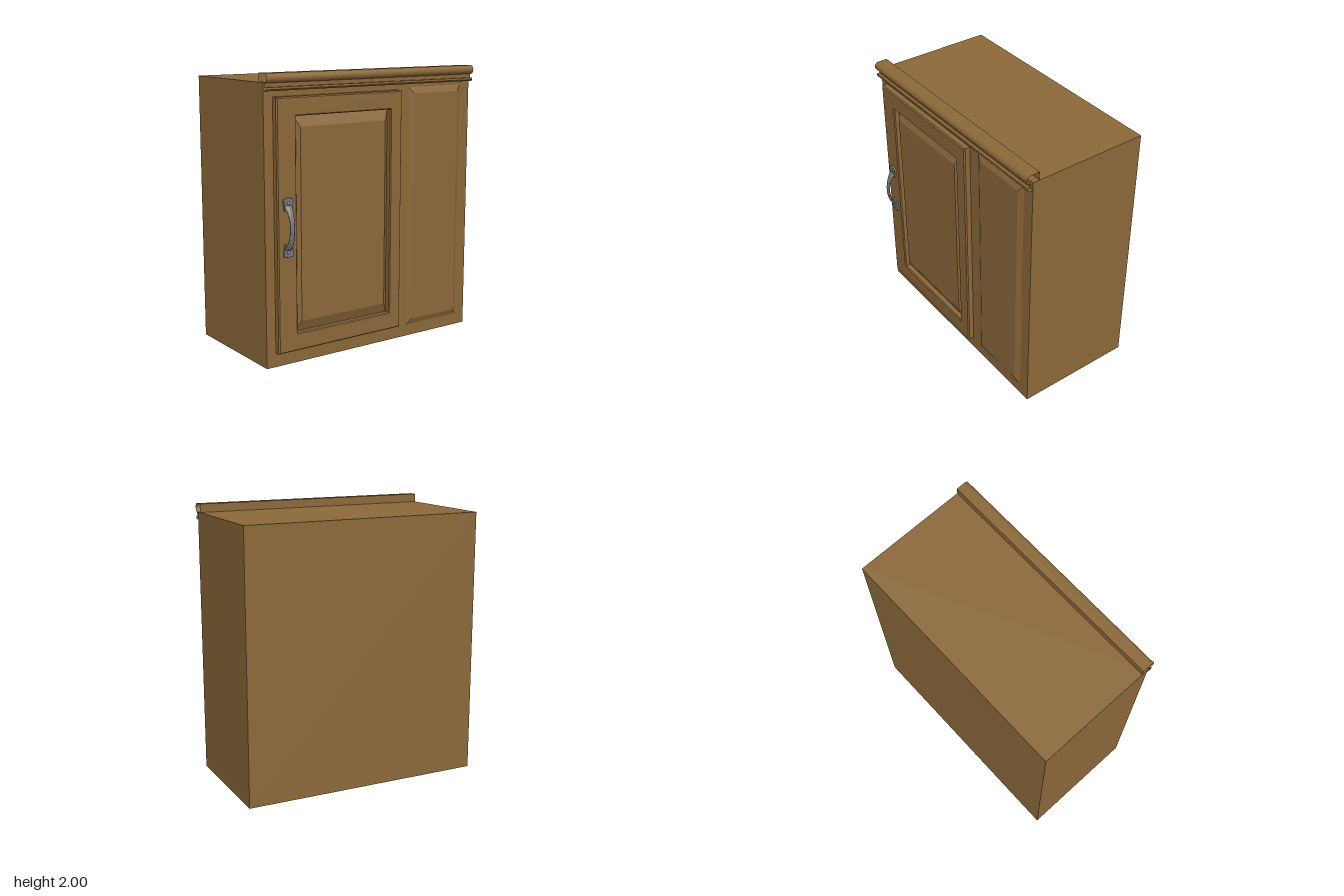
import * as THREE from 'three';
import { toCreasedNormals } from 'three/addons/utils/BufferGeometryUtils.js';

const wood = new THREE.MeshStandardMaterial({ color: 0x8b6839 });
const woodOpen = new THREE.MeshStandardMaterial({ color: 0x8b6839, side: THREE.DoubleSide });
const metal = new THREE.MeshStandardMaterial({ color: 0x777777 });

function fromTriangles(points) {
  const geometry = new THREE.BufferGeometry();
  geometry.setAttribute('position', new THREE.Float32BufferAttribute(points.flat(), 3));
  geometry.computeVertexNormals();
  return geometry;
}

function addMesh(parent, name, geometry, material) {
  const mesh = new THREE.Mesh(geometry, material);
  mesh.name = name;
  parent.add(mesh);
  return mesh;
}

// Mitred surface through nested rectangles [x0, x1, y0, y1, z], outermost first
function nestedRects(rects, capped) {
  const rings = rects.map(([x0, x1, y0, y1, z]) => [[x0, y0, z], [x1, y0, z], [x1, y1, z], [x0, y1, z]]);
  const tris = [];
  for (let r = 0; r + 1 < rings.length; r++) {
    const a = rings[r], b = rings[r + 1];
    for (let i = 0; i < 4; i++) {
      const j = (i + 1) % 4;
      tris.push(a[i], a[j], b[j], a[i], b[j], b[i]);
    }
  }
  if (capped) {
    const c = rings[rings.length - 1];
    tris.push(c[0], c[1], c[2], c[0], c[2], c[3]);
  }
  return fromTriangles(tris);
}

// Open-ended strip that sweeps a [z, y] profile along x
function sweepAlongX(profile, halfWidth) {
  const tris = [];
  for (let i = 0; i + 1 < profile.length; i++) {
    const [pz, py] = profile[i], [qz, qy] = profile[i + 1];
    const pL = [-halfWidth, py, pz], pR = [halfWidth, py, pz];
    const qL = [-halfWidth, qy, qz], qR = [halfWidth, qy, qz];
    tris.push(pL, qL, pR, pR, qL, qR);
  }
  return toCreasedNormals(fromTriangles(tris), 0.6);
}

// Bowed strap: wide at the feet, slim in the middle
function bowGeometry() {
  const steps = 24, sides = 12, rings = [];
  for (let s = 0; s <= steps; s++) {
    const t = (s / steps) * 2 - 1;
    const angle = t * 1.05;
    const y = 0.155 * Math.sin(angle) / Math.sin(1.05);
    const z = 0.437 + 0.059 * (Math.cos(angle) - Math.cos(1.05)) / (1 - Math.cos(1.05));
    const half = 0.018 + 0.015 * t * t;
    const ring = [];
    for (let k = 0; k < sides; k++) {
      const a = (k / sides) * Math.PI * 2;
      const d = 0.010 * Math.sin(a);
      ring.push([half * Math.cos(a), y + d * Math.sin(angle), z + d * Math.cos(angle)]);
    }
    rings.push(ring);
  }
  const tris = [];
  for (let s = 0; s < steps; s++) {
    for (let k = 0; k < sides; k++) {
      const n = (k + 1) % sides, a = rings[s], b = rings[s + 1];
      tris.push(a[k], b[n], a[n], a[k], b[k], b[n]);
    }
  }
  // winding runs outward for rings stacked upward
  for (let i = 0; i < tris.length; i += 3) [tris[i + 1], tris[i + 2]] = [tris[i + 2], tris[i + 1]];
  const geometry = fromTriangles(tris);
  const p = geometry.attributes.position, n = geometry.attributes.normal;
  // flip if the front of the strap does not face +z
  let facing = 0;
  for (let i = 0; i < p.count; i++) facing += n.getZ(i) * (p.getZ(i) - 0.437 - 0.059 * (1 - (p.getY(i) / 0.155) ** 2));
  if (facing < 0) {
    for (let i = 0; i < tris.length; i += 3) [tris[i + 1], tris[i + 2]] = [tris[i + 2], tris[i + 1]];
    return toCreasedNormals(fromTriangles(tris), 1.2);
  }
  return toCreasedNormals(geometry, 1.2);
}

// Foot plate with a scalloped outer end, pointing up
function footGeometry() {
  const s = new THREE.Shape();
  s.moveTo(-0.027, -0.045);
  s.lineTo(0.027, -0.045);
  s.quadraticCurveTo(0.03, -0.01, 0.034, 0.012);
  s.quadraticCurveTo(0.038, 0.032, 0.026, 0.034);
  s.quadraticCurveTo(0.018, 0.026, 0.012, 0.034);
  s.quadraticCurveTo(0, 0.044, -0.012, 0.034);
  s.quadraticCurveTo(-0.018, 0.026, -0.026, 0.034);
  s.quadraticCurveTo(-0.038, 0.032, -0.034, 0.012);
  s.quadraticCurveTo(-0.03, -0.01, -0.027, -0.045);
  return new THREE.ExtrudeGeometry(s, {
    depth: 0.010, bevelEnabled: true, bevelSize: 0.003, bevelThickness: 0.004, bevelSegments: 2, curveSegments: 6,
  });
}

export function createModel() {
  const model = new THREE.Group();
  model.name = 'wallCabinet';

  // Carcass
  addMesh(model, 'cabinetBody', new THREE.BoxGeometry(1.786, 1.94, 0.895), wood).position.set(0, 0.97, -0.0575);

  // Crown moulding with a rounded nose over a small fillet
  const profile = [[0.34, 1.94], [0.34, 2.0], [0.408, 2.0]];
  for (let i = 1; i <= 10; i++) {
    const a = Math.PI / 2 - (i / 10) * Math.PI;
    profile.push([0.408 + 0.032 * Math.cos(a), 1.968 + 0.032 * Math.sin(a)]);
  }
  profile.push([0.408, 1.91], [0.43, 1.91], [0.43, 1.895], [0.422, 1.885], [0.39, 1.885]);
  addMesh(model, 'crownMoulding', sweepAlongX(profile, 0.893), woodOpen);

  // Fixed raised panel beside the door
  addMesh(model, 'fixedPanel', nestedRects([
    [0.315, 0.805, 0.085, 1.86, 0.39],
    [0.355, 0.765, 0.13, 1.815, 0.41],
  ], true), wood);

  // Door: mitred frame around a raised centre panel
  const door = new THREE.Group();
  door.name = 'door';
  model.add(door);
  addMesh(door, 'doorFrame', nestedRects([
    [-0.822, 0.222, 0.1, 1.845, 0.39],
    [-0.822, 0.222, 0.1, 1.845, 0.427],
    [-0.814, 0.214, 0.108, 1.837, 0.436],
    [-0.677, 0.127, 0.22, 1.722, 0.436],
    [-0.67, 0.12, 0.227, 1.715, 0.428],
    [-0.67, 0.12, 0.227, 1.715, 0.392],
  ], false), wood);
  addMesh(door, 'doorPanel', nestedRects([
    [-0.67, 0.12, 0.227, 1.715, 0.393],
    [-0.63, 0.08, 0.302, 1.64, 0.424],
  ], true), wood);

  // Handle
  const handle = new THREE.Group();
  handle.name = 'handle';
  handle.position.set(-0.745, 0.975, 0);
  model.add(handle);
  addMesh(handle, 'handleBow', bowGeometry(), metal);
  const foot = footGeometry();
  for (const side of [1, -1]) {
    const plate = addMesh(handle, 'handleFoot', foot, metal);
    plate.position.set(0, side * 0.163, 0.438);
    if (side < 0) plate.rotation.z = Math.PI;
    const screw = addMesh(handle, 'handleScrew', new THREE.SphereGeometry(0.014, 16, 8), metal);
    screw.position.set(0, side * 0.168, 0.451);
    screw.scale.z = 0.6;
  }
  return model;
}
